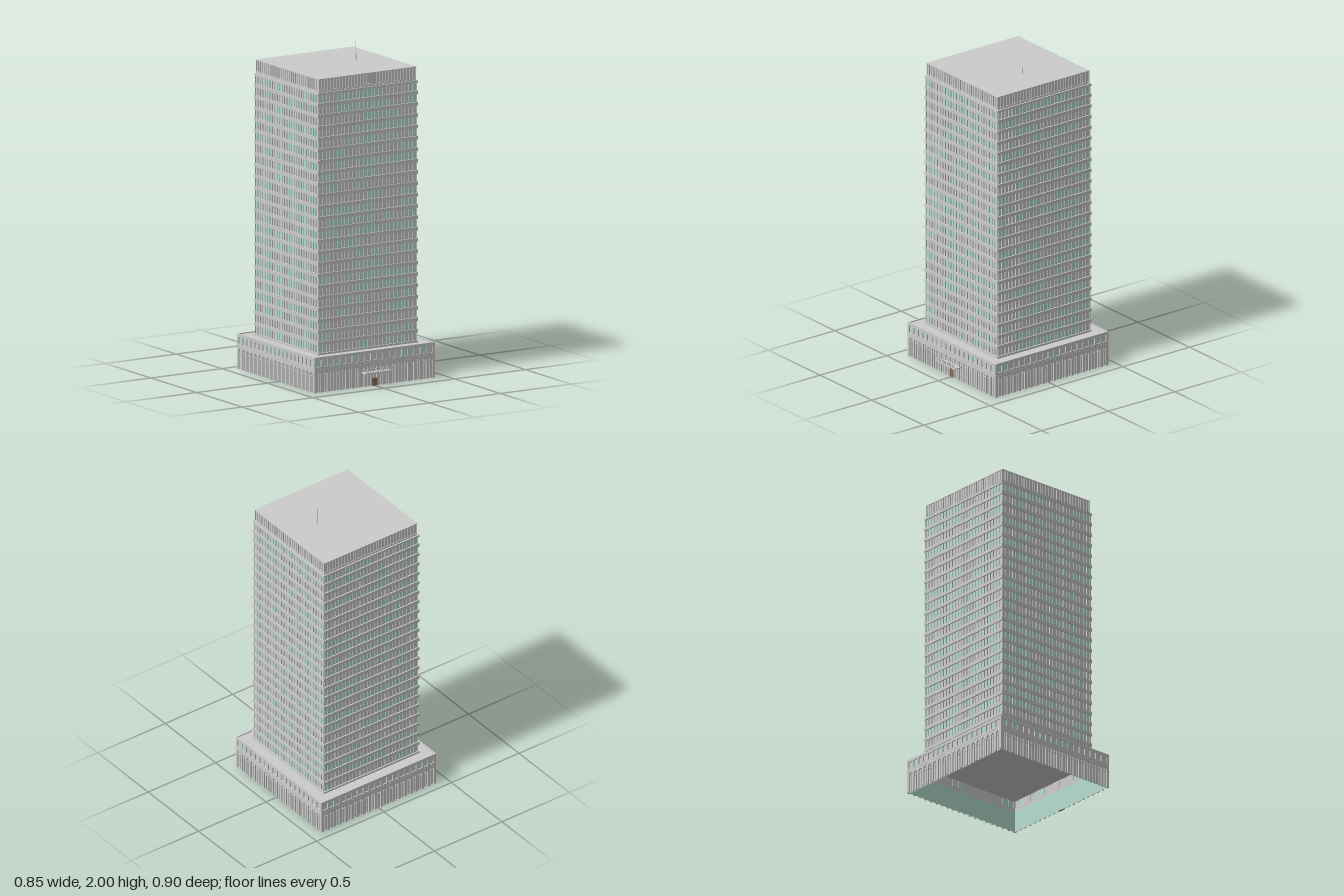
import * as THREE from 'three';
import { mergeGeometries } from 'three/addons/utils/BufferGeometryUtils.js';

const grey = new THREE.MeshStandardMaterial({ color: 0xcccccc });
const greyThin = new THREE.MeshStandardMaterial({ color: 0xcccccc, side: THREE.DoubleSide });
const glass = new THREE.MeshStandardMaterial({ color: 0xb4dccd, side: THREE.DoubleSide });
const wood = new THREE.MeshStandardMaterial({ color: 0x8a6a50 });

// Main sizes (half widths and heights)
const POD = 0.425, POD_TOP = 0.215, TOWER = 0.353, CORE = 0.344, CROWN = 0.344;
const FLOORS = 23, PITCH = 0.0688, BASE = 0.222, BAYS = 26, POD_BAYS = 19;

let seed = 7;
const rand = () => (seed = (seed * 16807) % 2147483647) / 2147483647;

function box(w, h, d, x, y, z) {
  return new THREE.BoxGeometry(w, h, d).translate(x, y, z);
}
function pane(w, h, x, y, z) {
  return new THREE.PlaneGeometry(w, h).translate(x, y, z);
}
function add(parent, name, geometry, material = grey) {
  const mesh = new THREE.Mesh(Array.isArray(geometry) ? mergeGeometries(geometry) : geometry, material);
  mesh.name = name;
  parent.add(mesh);
  return mesh;
}

// One podium side: arcade below, row of square windows above
function podiumSide() {
  const side = new THREE.Group();
  const pitch = (2 * POD - 0.02) / POD_BAYS, r = 0.0145, spring = 0.11;
  const shape = new THREE.Shape();
  shape.moveTo(-POD, POD_TOP);
  shape.lineTo(-POD, 0);
  const lit = [], dark = [];
  for (let i = 0; i < POD_BAYS; i++) {
    const x = (i - (POD_BAYS - 1) / 2) * pitch;
    shape.lineTo(x - r, 0);
    shape.lineTo(x - r, spring);
    shape.absarc(x, spring, r, Math.PI, 0, true);
    shape.lineTo(x + r, 0);
    const hole = new THREE.Path();
    hole.moveTo(x - 0.016, 0.155);
    hole.lineTo(x - 0.016, 0.197);
    hole.lineTo(x + 0.016, 0.197);
    hole.lineTo(x + 0.016, 0.155);
    hole.closePath();
    shape.holes.push(hole);
    (rand() < 0.4 ? lit : dark).push(pane(0.034, 0.044, x, 0.176, POD - 0.007));
  }
  shape.lineTo(POD, 0);
  shape.lineTo(POD, POD_TOP);
  shape.closePath();
  const wall = new THREE.ExtrudeGeometry(shape, { depth: 0.008, bevelEnabled: false, curveSegments: 6 });
  add(side, 'arcadeWall', wall.translate(0, 0, POD - 0.008));
  if (lit.length) add(side, 'podiumWindowsClear', lit, glass);
  if (dark.length) add(side, 'podiumWindowsBlind', dark, greyThin);

  // Screen behind the arcade, glazed on its inner face
  add(side, 'arcadeScreen', pane(2 * POD - 0.02, 0.13, 0, 0.065, POD - 0.01));
  add(side, 'arcadeGlazing', pane(2 * POD - 0.024, 0.13, 0, 0.065, POD - 0.012), glass);
  const bars = [box(2 * POD - 0.02, 0.004, 0.006, 0, 0.1, POD - 0.008)];
  for (let i = 0; i < POD_BAYS; i++) {
    bars.push(box(0.003, 0.12, 0.006, (i - (POD_BAYS - 1) / 2) * pitch, 0.06, POD - 0.008));
  }
  add(side, 'arcadeBars', bars);
  add(side, 'podiumSill', box(2 * POD, 0.004, 0.004, 0, 0.14, POD - 0.001));
  return side;
}

// One tower side: clear panes in random runs, with mullions between
function towerSide() {
  const side = new THREE.Group();
  const pitch = (2 * CORE) / BAYS, panes = [], mullions = [];
  for (let f = 0; f < FLOORS; f++) {
    let clear = rand() < 0.5;
    for (let i = 0; i < BAYS; i++) {
      if (rand() < 0.35) clear = rand() < 0.5;
      if (clear) {
        panes.push(pane(pitch - 0.003, 0.047, (i + 0.5) * pitch - CORE, BASE + f * PITCH + 0.0235, CORE + 0.001));
      }
    }
  }
  const height = FLOORS * PITCH - 0.01;
  for (let i = 0; i <= BAYS; i++) {
    mullions.push(box(0.004, height, 0.006, i * pitch - CORE, BASE + height / 2, CORE + 0.003));
  }
  add(side, 'windowPanes', panes, glass);
  add(side, 'mullions', mullions);

  // Ribs of the rooftop screen
  const ribs = [];
  for (let i = 0; i <= 32; i++) {
    ribs.push(box(0.004, 0.07, 0.006, (i / 16 - 1) * (CROWN - 0.003), 1.843, CROWN - 0.002));
  }
  add(side, 'crownRibs', ribs);
  return side;
}

export function createModel() {
  const model = new THREE.Group();
  model.name = 'officeTower';
  const building = new THREE.Group();
  building.name = 'building';
  building.position.z = -0.024;
  model.add(building);

  for (let s = 0; s < 4; s++) {
    for (const [name, make] of [['podiumSide', podiumSide], ['towerSide', towerSide]]) {
      const side = make();
      side.name = name;
      side.rotation.y = (s * Math.PI) / 2;
      building.add(side);
    }
  }

  // Podium roof, sunk just below the parapet
  add(building, 'podiumRoof', box(2 * POD - 0.012, 0.008, 2 * POD - 0.012, 0, 0.205, 0));

  // Tower body and floor bands
  add(building, 'towerCore', box(2 * CORE, 1.6, 2 * CORE, 0, 1.005, 0));
  const bands = [box(2 * TOWER, 0.012, 2 * TOWER, 0, 0.215, 0)];
  for (let f = 1; f <= FLOORS; f++) {
    const last = f === FLOORS;
    bands.push(box(2 * TOWER, last ? 0.014 : 0.0215, 2 * TOWER, 0, BASE + f * PITCH - (last ? 0.014 : 0.011), 0));
  }
  add(building, 'floorBands', bands);

  // Crown and roof
  add(building, 'crownScreen', box(2 * CROWN - 0.008, 0.08, 2 * CROWN - 0.008, 0, 1.838, 0));
  add(building, 'crownFoot', box(2 * CROWN, 0.004, 2 * CROWN, 0, 1.808, 0));
  add(building, 'roof', box(2 * CROWN + 0.002, 0.005, 2 * CROWN + 0.002, 0, 1.878, 0));

  // Antenna
  add(building, 'antennaBase', new THREE.CylinderGeometry(0.003, 0.003, 0.04, 8).translate(0.14, 1.9, 0));
  add(building, 'antennaMast', new THREE.CylinderGeometry(0.0015, 0.0015, 0.12, 6).translate(0.14, 1.94, 0));

  // Flagpole projecting from the crown
  const pole = new THREE.CylinderGeometry(0.0015, 0.0015, 0.04, 6).rotateX(Math.PI / 2);
  add(model, 'flagpole', pole.translate(0, 1.82, 0.339));
  add(model, 'flagpoleBracket', box(0.018, 0.004, 0.004, 0, 1.82, 0.321));

  // Entrance: door, canopy and low railing
  add(model, 'door', box(0.036, 0.046, 0.012, 0, 0.023, 0.396), wood);
  add(model, 'canopy', box(0.18, 0.007, 0.05, 0, 0.0865, 0.422));
  const rail = [box(0.17, 0.003, 0.003, 0, 0.113, 0.4445)];
  for (let i = 0; i <= 14; i++) {
    rail.push(box(0.003, 0.025, 0.003, (i / 7 - 1) * 0.0835, 0.101, 0.4445));
  }
  add(model, 'canopyRailing', rail);
  return model;
}
